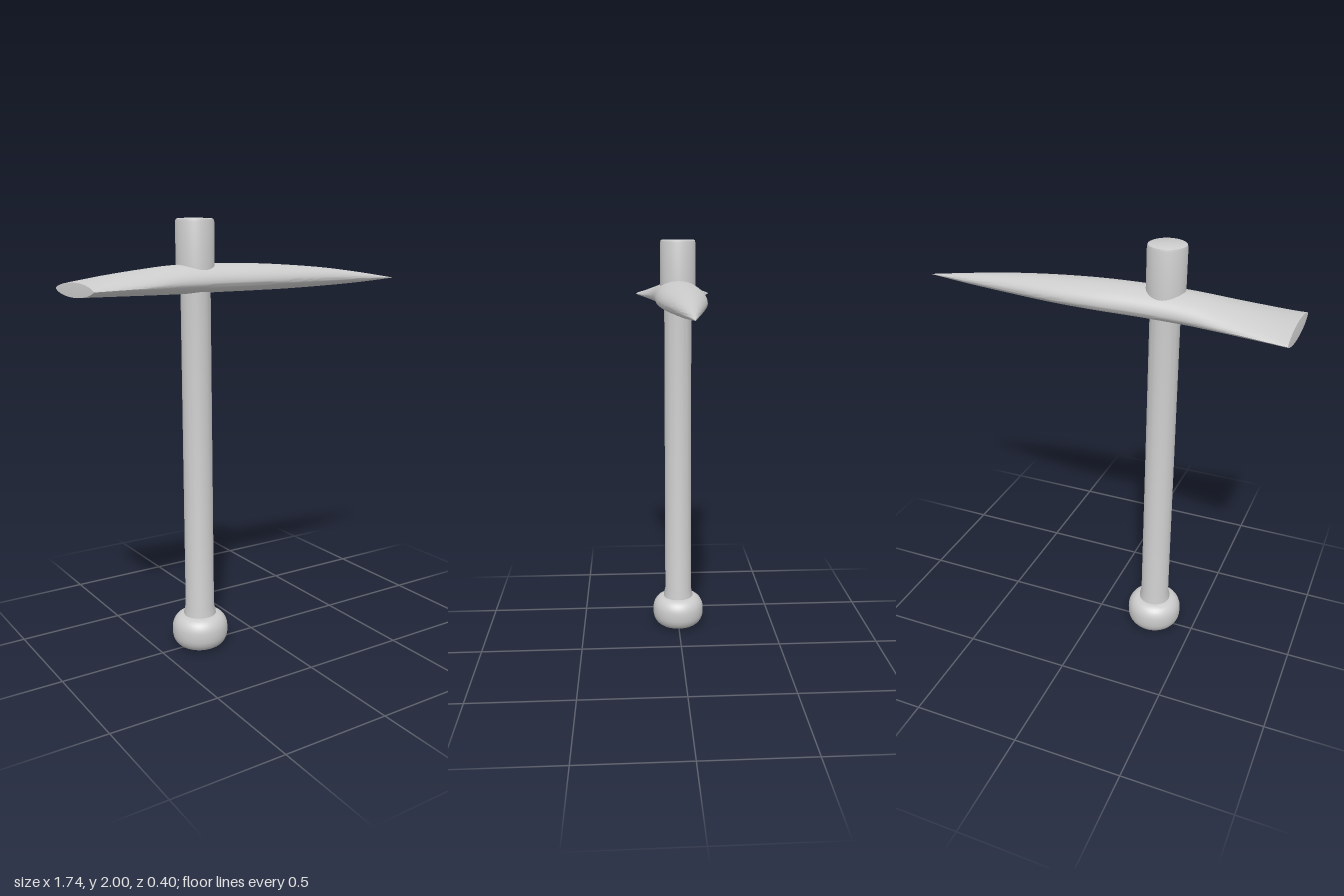
import * as THREE from 'three';
import { toCreasedNormals } from 'three/addons/utils/BufferGeometryUtils.js';

const HANDLE_X = -0.295;
const material = new THREE.MeshStandardMaterial({ color: 0xcccccc });

// Round part turned about the handle axis from [radius, height] points
function turned(name, profile) {
  const points = profile.map(([r, y]) => new THREE.Vector2(r, y));
  const geometry = toCreasedNormals(new THREE.LatheGeometry(points, 40), 0.7);
  const mesh = new THREE.Mesh(geometry, material);
  mesh.name = name;
  mesh.position.x = HANDLE_X;
  return mesh;
}

// Rounded pommel: a squashed corner swept between flat ends
function pommelProfile() {
  const points = [[0, 0]];
  const bottom = 0, top = 0.157, radius = 0.132, round = 0.055;
  for (let i = 0; i <= 16; i++) {
    const a = -Math.PI / 2 + (Math.PI * i) / 16;
    const y = i < 8 ? bottom + 0.07 : i > 8 ? top - 0.07 : (bottom + top) / 2;
    points.push([radius - round + round * Math.cos(a), y + 0.07 * Math.sin(a)]);
  }
  points.push([0, top]);
  return points;
}

// Head lofted from a flared blade on the left to a point on the right
function headGeometry() {
  // x, half width, bottom y, side edge y, top y, edge sharpness
  const stations = [
    [-0.866, 0.2, 1.677, 1.708, 1.738, 1.35],
    [-0.72, 0.176, 1.676, 1.711, 1.764, 1.3],
    [-0.56, 0.148, 1.675, 1.715, 1.785, 1.2],
    [-0.4, 0.124, 1.675, 1.722, 1.801, 1.05],
    [-0.2, 0.117, 1.678, 1.726, 1.806, 1],
    [0, 0.117, 1.68, 1.727, 1.803, 1],
    [0.2, 0.104, 1.683, 1.727, 1.793, 1],
    [0.42, 0.074, 1.69, 1.726, 1.776, 1],
    [0.64, 0.039, 1.7, 1.723, 1.75, 1],
    [0.866, 0.001, 1.716, 1.717, 1.718, 1],
  ];
  const steps = 54, sides = 40;
  const positions = [], indices = [];

  // Smooth Catmull-Rom interpolation through each column
  const sample = (t, k) => {
    const f = t * (stations.length - 1);
    const i = Math.min(Math.floor(f), stations.length - 2);
    const u = f - i;
    const at = (n) => stations[THREE.MathUtils.clamp(n, 0, stations.length - 1)][k];
    const [a, b, c, d] = [at(i - 1), at(i), at(i + 1), at(i + 2)];
    return b + 0.5 * u * (c - a + u * (2 * a - 5 * b + 4 * c - d + u * (3 * (b - c) + d - a)));
  };

  for (let i = 0; i <= steps; i++) {
    const [x, w, low, mid, high, sharp] = [0, 1, 2, 3, 4, 5].map((k) => sample(i / steps, k));
    for (let j = 0; j < sides; j++) {
      const a = (2 * Math.PI * j) / sides;
      const s = Math.sin(a);
      const rise = Math.pow(Math.abs(s), sharp);
      const y = s > 0 ? mid + (high - mid) * rise : mid - (mid - low) * rise;
      // The blade end leans slightly, its lower lip reaching further out
      const lean = i === 0 ? (y - mid) * 0.15 : 0;
      positions.push(x + lean, y, w * Math.cos(a));
    }
  }
  for (let i = 0; i < steps; i++) {
    for (let j = 0; j < sides; j++) {
      const k = (j + 1) % sides;
      const a = i * sides + j, b = i * sides + k;
      indices.push(a, a + sides, b + sides, a, b + sides, b);
    }
  }

  // Close the blade end and the tip
  const blade = positions.length / 3;
  positions.push(-0.868, 1.708, 0, 0.868, 1.717, 0);
  const last = steps * sides;
  for (let j = 0; j < sides; j++) {
    const k = (j + 1) % sides;
    indices.push(blade, j, k, blade + 1, last + k, last + j);
  }

  const geometry = new THREE.BufferGeometry();
  geometry.setAttribute('position', new THREE.Float32BufferAttribute(positions, 3));
  geometry.setIndex(indices);
  return toCreasedNormals(geometry, 0.8);
}

export function createModel() {
  const model = new THREE.Group();
  model.name = 'pickaxe';

  const head = new THREE.Mesh(headGeometry(), material);
  head.name = 'head';

  model.add(
    turned('pommel', pommelProfile()),
    // Handle with a small collar above the pommel
    turned('handle', [[0.077, 0.14], [0.076, 0.165], [0.068, 0.2], [0.067, 1.74]]),
    head,
    // Capped handle end standing above the head
    turned('handleCap', [
      [0, 1.72], [0.086, 1.72], [0.086, 1.985], [0.083, 1.996], [0.075, 2], [0, 2],
    ]),
  );
  return model;
}
